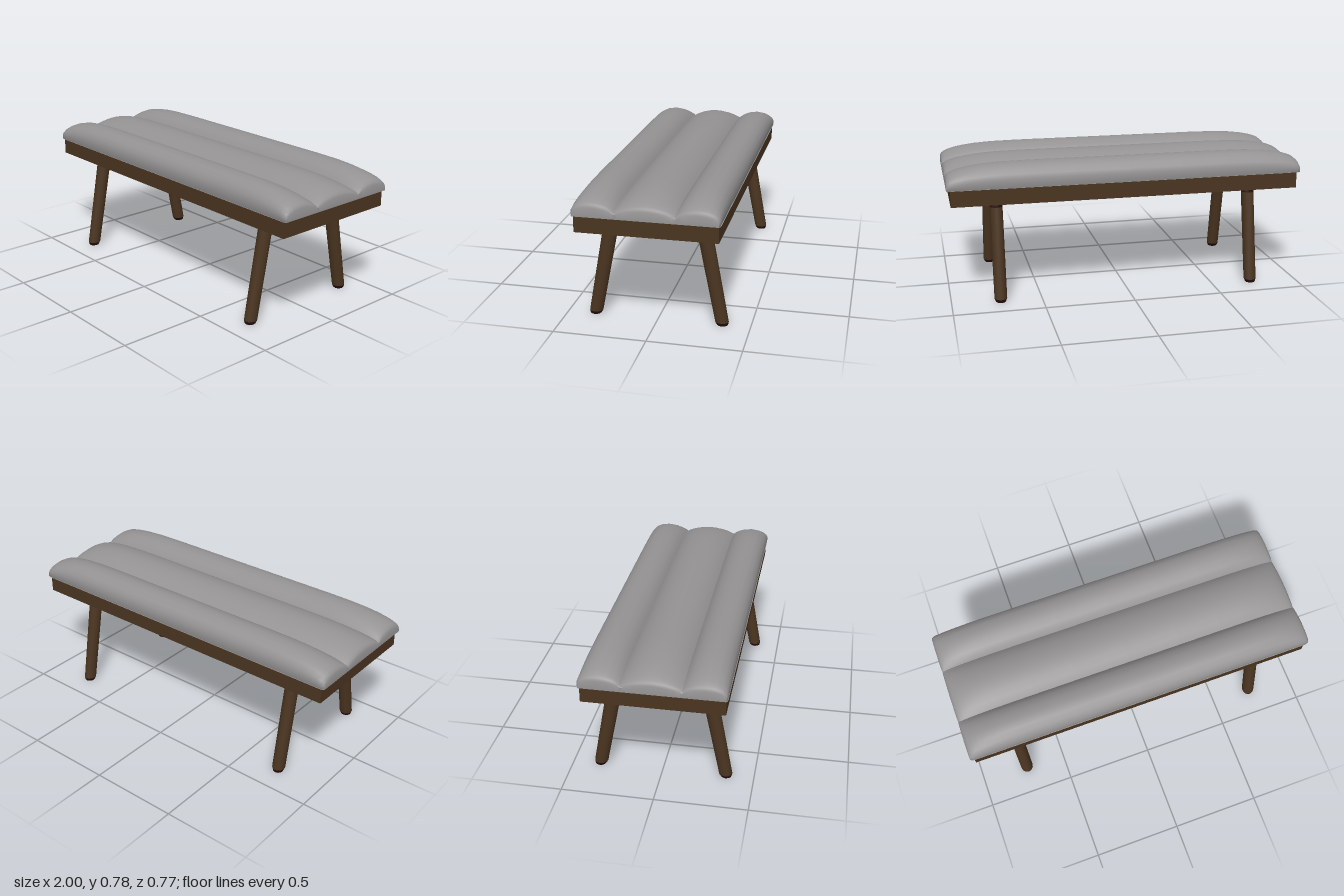
import * as THREE from 'three';
import { toCreasedNormals } from 'three/addons/utils/BufferGeometryUtils.js';

const material = (name, color, side = THREE.FrontSide) => {
  const m = new THREE.MeshStandardMaterial({ color, side });
  m.name = name;
  return m;
};

const BASE = 0.65; // where the cushion meets the frame

// Half of the three-lobed cushion section: [z, y] from the front edge to the middle
const HALF = [
  [0.376, 0.65], [0.38, 0.67], [0.379, 0.7], [0.371, 0.725], [0.352, 0.75], [0.32, 0.769],
  [0.275, 0.777], [0.23, 0.769], [0.195, 0.752], [0.17, 0.731], [0.155, 0.71],
  [0.142, 0.722], [0.115, 0.741], [0.08, 0.757], [0.04, 0.768], [0, 0.772],
];

// Sections lofted along x; the padding drops and narrows towards each end
function cushionGeometry() {
  const section = [...HALF, ...HALF.slice(0, -1).reverse().map(([z, y]) => [-z, y])];
  const n = section.length;
  const half = [0, 0.3, 0.55, 0.7, 0.8, 0.87, 0.92, 0.955, 0.98, 0.993, 1];
  const stations = [...half.slice(1).reverse().map(x => -x), ...half];
  const positions = [], index = [];

  stations.forEach(x => {
    const t = Math.max(0, (Math.abs(x) - 0.55) / 0.45);
    const height = 0.4 + 0.6 * Math.pow(1 - Math.pow(t, 2.6), 0.5);
    const width = Math.abs(x) > 0.98 ? 1 - 0.02 * ((Math.abs(x) - 0.98) / 0.02) ** 2 : 1;
    section.forEach(([z, y]) => positions.push(x, BASE + (y - BASE) * height, z * width));
    section.forEach(([z]) => positions.push(x, BASE, z * width));
  });

  const quad = (a, b, c, d) => index.push(a, b, c, a, c, d);
  const row = 2 * n, last = (stations.length - 1) * row;
  for (let i = 0; i < n - 1; i++) {
    for (let s = 0; s < stations.length - 1; s++) {
      const a = s * row + i, b = a + row;
      quad(a, b, b + 1, a + 1);                  // padded top and sides
      quad(a + n, a + n + 1, b + n + 1, b + n);  // flat base
    }
    quad(i, i + 1, i + n + 1, i + n);            // left and right ends
    quad(last + i, last + i + n, last + i + n + 1, last + i + 1);
  }

  const geometry = new THREE.BufferGeometry();
  geometry.setAttribute('position', new THREE.Float32BufferAttribute(positions, 3));
  geometry.setIndex(index);
  return toCreasedNormals(geometry, 0.75);
}

// A leg piece between two heights, sheared outwards in z (side = 1 front, -1 back)
function legPiece(y0, y1, scale0, scale1, side) {
  const geometry = new THREE.CylinderGeometry(0.036 * scale1, 0.036 * scale0, y1 - y0, 12);
  geometry.translate(0, (y0 + y1) / 2, 0);
  const p = geometry.attributes.position;
  for (let i = 0; i < p.count; i++) {
    const y = p.getY(i);
    const lean = 0.349 - 0.107 * (y / 0.56);
    p.setZ(i, p.getZ(i) * (1.05 + 0.12 * (y / 0.56)) + side * lean);
  }
  geometry.computeVertexNormals();
  return toCreasedNormals(geometry, 0.7);
}

export function createModel() {
  const fabric = material('grey fabric', 0x949293, THREE.DoubleSide);
  const wood = material('brown wood', 0x4a3420);
  const dark = material('dark underside', 0x280c0e);

  const group = new THREE.Group();
  group.name = 'bench';
  const add = (parent, name, geometry, mat) => {
    const mesh = new THREE.Mesh(geometry, mat);
    mesh.name = name;
    parent.add(mesh);
    return mesh;
  };

  add(group, 'cushion', cushionGeometry(), fabric);

  // Frame with a dark underside
  const frame = add(group, 'frame', new THREE.BoxGeometry(1.96, 0.092, 0.74),
    [wood, wood, wood, dark, wood, wood]);
  frame.position.y = 0.605;

  // Four splayed legs with dark collars and feet
  for (const x of [-0.73, 0.73]) {
    for (const side of [1, -1]) {
      const leg = new THREE.Group();
      leg.name = (side > 0 ? 'front' : 'back') + (x > 0 ? 'Left' : 'Right') + 'Leg';
      leg.position.x = x;
      add(leg, 'foot', legPiece(0, 0.018, 0.78, 0.98, side), dark);
      add(leg, 'shaft', legPiece(0.018, 0.522, 0.98, 1, side), wood);
      add(leg, 'collar', legPiece(0.522, 0.57, 1, 1, side), dark);
      group.add(leg);
    }
  }
  return group;
}
